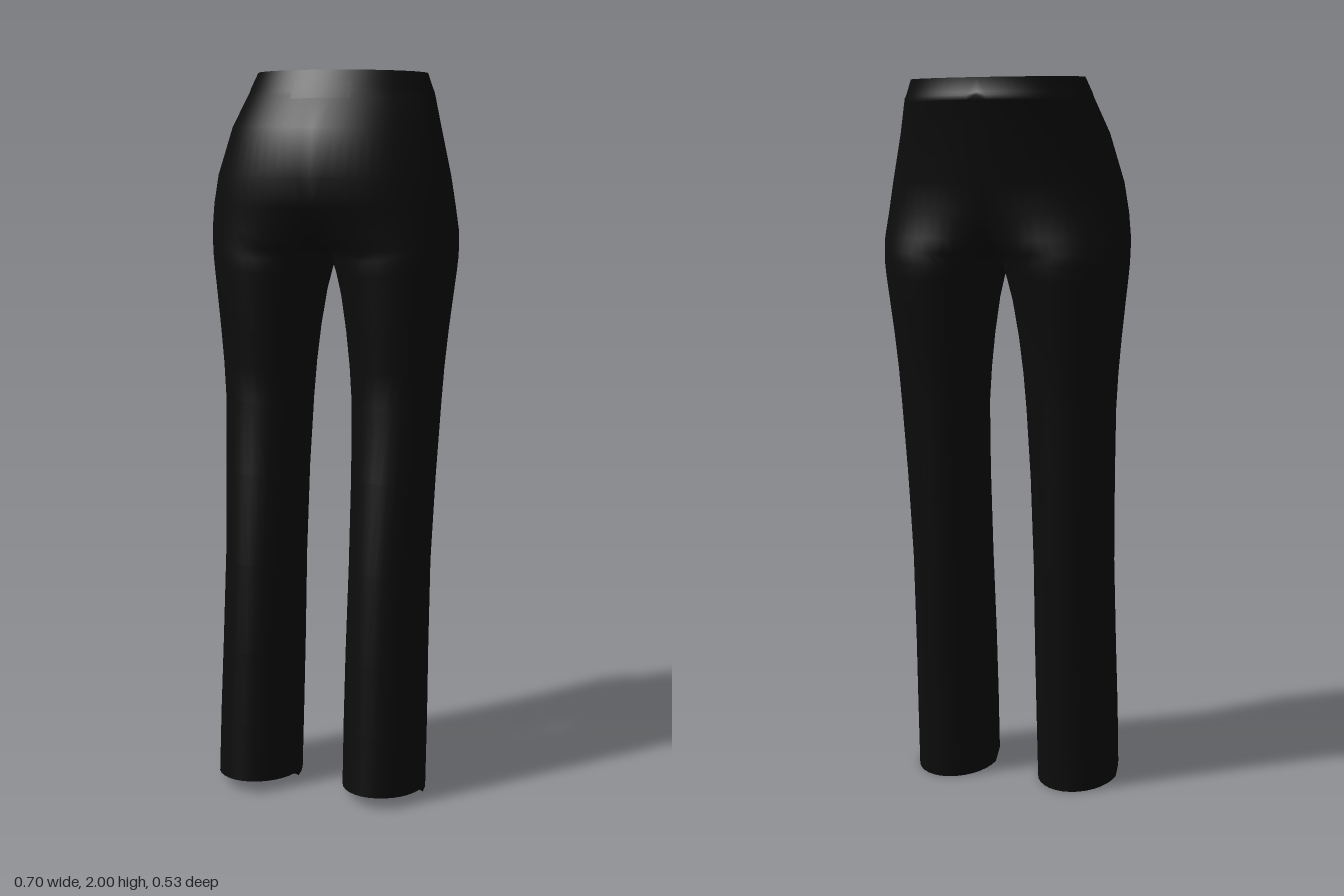
import * as THREE from 'three';
import { mergeVertices } from 'three/addons/utils/BufferGeometryUtils.js';

// Half cross-sections: [y, outer x, inner x, back z, front z].
// A negative inner x means the section is cut at the centre line and joins its mirror.
const SECTIONS = [
  [0.00, 0.300, 0.072, -0.060, 0.265],
  [0.20, 0.300, 0.070, -0.068, 0.245],
  [0.40, 0.297, 0.070, -0.082, 0.226],
  [0.65, 0.295, 0.072, -0.100, 0.200],
  [0.90, 0.302, 0.069, -0.116, 0.165],
  [1.10, 0.310, 0.062, -0.132, 0.136],
  [1.20, 0.316, 0.055, -0.145, 0.140],
  [1.30, 0.325, 0.044, -0.160, 0.147],
  [1.40, 0.336, 0.028, -0.176, 0.153],
  [1.46, 0.343, 0.013, -0.186, 0.157],
  [1.50, 0.347, 0.000, -0.191, 0.160],
  [1.53, 0.349, -0.04, -0.191, 0.162],
  [1.57, 0.350, -0.11, -0.191, 0.167],
  [1.64, 0.342, -0.24, -0.191, 0.184],
  [1.72, 0.328, -0.328, -0.209, 0.200],
  [1.85, 0.292, -0.292, -0.238, 0.180],
  [1.93, 0.265, -0.265, -0.257, 0.115],
  [1.945, 0.260, -0.260, -0.262, 0.106],
  [1.955, 0.257, -0.257, -0.252, 0.100],
  [2.00, 0.240, -0.240, -0.250, 0.075],
];

function sectionAt(y) {
  let i = 0;
  while (i < SECTIONS.length - 2 && y > SECTIONS[i + 1][0]) i++;
  const a = SECTIONS[i], b = SECTIONS[i + 1];
  const k = (y - a[0]) / (b[0] - a[0]);
  return a.map((v, j) => v + (b[j] - v) * k);
}

// Point on the cloth: u runs from the back, around the outside, to the front
function surfacePoint(u, y, side, offset) {
  const [, outer, inner, back, front] = sectionAt(y);
  const cx = (outer + inner) / 2, rx = (outer - inner) / 2;
  const cz = (front + back) / 2, rz = (front - back) / 2;
  const limit = Math.acos(Math.max(-1, -cx / rx));
  const t = (2 * u - 1) * limit;
  const x = Math.max(0, cx + (rx + offset) * Math.cos(t));
  const z = cz + (rz + offset) * Math.sin(t);
  // hem lifts over the foot, waist dips at the back
  const lift = z > 0.13 ? 0.018 + 0.13 * (z - 0.13) : 0;
  let h = y;
  if (y < 0.2) h += lift * (1 - y / 0.2);
  if (y > 1.93) h -= 0.012 * ((front - z) / (front - back)) * ((y - 1.93) / 0.07);
  return [side * x, h, z];
}

// Mirrored pair of cloth patches, welded along the centre line
function cloth(name, material, ys, u0, u1, columns, offset = 0) {
  const positions = [], index = [];
  for (const side of [1, -1]) {
    const base = positions.length / 3;
    for (const y of ys) {
      for (let i = 0; i <= columns; i++) {
        positions.push(...surfacePoint(u0 + (u1 - u0) * i / columns, y, side, offset));
      }
    }
    for (let r = 0; r < ys.length - 1; r++) {
      for (let i = 0; i < columns; i++) {
        const a = base + r * (columns + 1) + i, b = a + 1;
        const c = a + columns + 1, d = c + 1;
        if (side > 0) index.push(a, c, b, b, c, d);
        else index.push(a, b, c, b, d, c);
      }
    }
  }
  let geometry = new THREE.BufferGeometry();
  geometry.setAttribute('position', new THREE.Float32BufferAttribute(positions, 3));
  geometry.setIndex(index);
  geometry = mergeVertices(geometry, 1e-5);
  geometry.computeVertexNormals();
  const mesh = new THREE.Mesh(geometry, material);
  mesh.name = name;
  return mesh;
}

export function createModel() {
  const group = new THREE.Group();
  group.name = 'trousers';
  const fabric = new THREE.MeshStandardMaterial({ color: 0x0c0c0c, side: THREE.DoubleSide });
  fabric.name = 'black fabric';

  // Legs and seat in one continuous piece, open at the waist and hems
  group.add(cloth('legsAndSeat', fabric, SECTIONS.map((s) => s[0]), 0, 1, 32));
  // Facing inside the waist
  group.add(cloth('waistFacing', fabric, [1.92, 1.96, 2], 0, 1, 32, -0.006));
  // Flat patch at the centre of the waist
  group.add(cloth('waistPatch', fabric, [1.925, 1.945, 1.97], 0.9, 1, 6, 0.004));
  // Tabs above the hems
  group.add(cloth('hemTabs', fabric, [0.03, 0.065, 0.1], 0.17, 0.33, 8, 0.003));
  return group;
}
